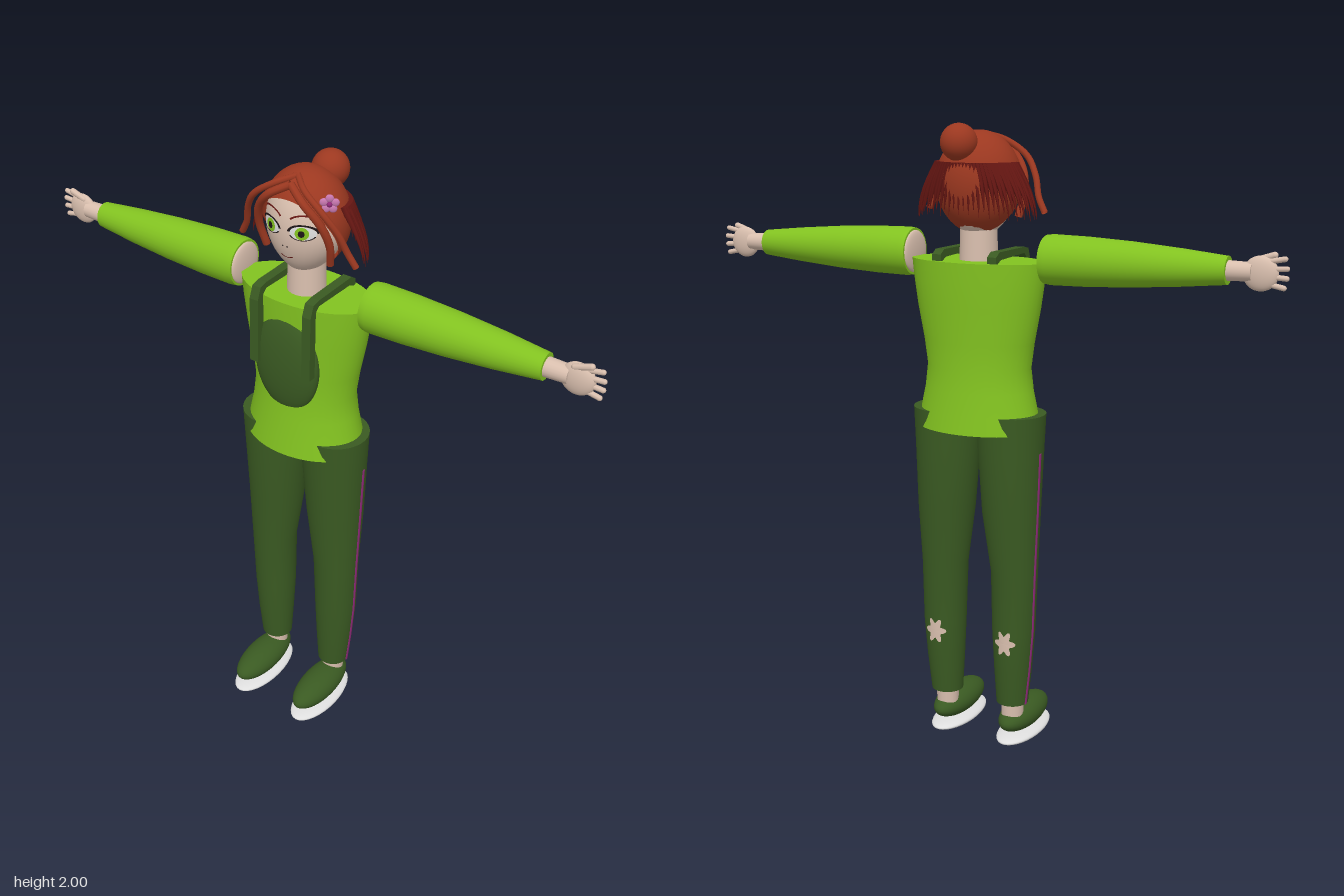
import * as THREE from 'three';
import { mergeGeometries } from 'three/addons/utils/BufferGeometryUtils.js';

const paint = (name, color) => {
  const m = new THREE.MeshStandardMaterial({ color, side: THREE.DoubleSide });
  m.name = name;
  return m;
};

// Closed skin through elliptical rings [y, centreX, centreZ, radiusX, radiusZ], listed upward
function loft(rings, seg = 32) {
  const pos = [], idx = [];
  const addRing = ([y, cx, cz, rx, rz]) => {
    for (let j = 0; j < seg; j++) {
      const a = (j / seg) * Math.PI * 2;
      pos.push(cx + Math.cos(a) * rx, y, cz + Math.sin(a) * rz);
    }
  };
  rings.forEach(addRing);
  for (let i = 0; i < rings.length - 1; i++) {
    for (let j = 0; j < seg; j++) {
      const a = i * seg + j, b = i * seg + ((j + 1) % seg);
      idx.push(a, a + seg, b, b, a + seg, b + seg);
    }
  }
  for (const top of [false, true]) {
    const r = top ? rings[rings.length - 1] : rings[0], start = pos.length / 3;
    addRing(r);
    pos.push(r[1], r[0], r[2]);
    for (let j = 0; j < seg; j++) {
      const a = start + j, b = start + ((j + 1) % seg);
      idx.push(start + seg, top ? b : a, top ? a : b);
    }
  }
  const g = new THREE.BufferGeometry();
  g.setAttribute('position', new THREE.Float32BufferAttribute(pos, 3));
  g.setIndex(idx);
  g.computeVertexNormals();
  return g;
}

// Move every vertex by a rule
function warp(g, rule) {
  const p = g.attributes.position, v = new THREE.Vector3();
  for (let i = 0; i < p.count; i++) {
    v.fromBufferAttribute(p, i);
    rule(v);
    p.setXYZ(i, v.x, v.y, v.z);
  }
  g.computeVertexNormals();
  return g;
}

const ball = (rx, ry, rz, x, y, z) => new THREE.SphereGeometry(1, 32, 20).scale(rx, ry, rz).translate(x, y, z);

export function createModel() {
  const model = new THREE.Group();
  model.name = 'figure';
  const skin = paint('skin', 0xd9bfae), hair = paint('hair', 0x9c3820), darkHair = paint('dark hair', 0x661612);
  const shirt = paint('leaf green', 0x82c220), pants = paint('dark green', 0x3a5a22), white = paint('white', 0xdedede);
  const black = paint('black', 0x1c1416), magenta = paint('magenta', 0x8e2a78), pink = paint('pink', 0xc878b0);
  const add = (parent, name, geo, mat) => {
    const m = new THREE.Mesh(geo, mat);
    m.name = name;
    parent.add(m);
    return m;
  };

  // Torso
  add(model, 'shirt', loft([
    [1.065, 0, -0.043, 0.205, 0.142], [1.12, 0, -0.043, 0.195, 0.134], [1.19, 0, -0.043, 0.18, 0.124],
    [1.26, 0, -0.043, 0.172, 0.117], [1.34, 0, -0.044, 0.184, 0.115], [1.45, 0, -0.045, 0.206, 0.118],
    [1.53, 0, -0.045, 0.218, 0.12], [1.59, 0, -0.045, 0.225, 0.12]], 40), shirt);
  add(model, 'bib', ball(0.115, 0.167, 0.04, 0, 1.38, 0.057), pants);
  add(model, 'neck', new THREE.CylinderGeometry(0.056, 0.06, 0.15, 24).translate(0, 1.64, -0.045), skin);

  // Head with a narrowed chin
  const HY = 1.81, HZ = -0.042;
  const taper = t => 1 - 0.28 * Math.max(0, -t) ** 2;
  add(model, 'head', warp(new THREE.SphereGeometry(1, 36, 28), v => {
    v.set(v.x * 0.122 * taper(v.y), HY + v.y * 0.155, HZ + v.z * 0.108);
  }), skin);

  // Thin face details, laid onto the head surface
  const feature = (name, mat, geo, cx, cy, sx, sy, lift) => add(model, name, warp(geo, v => {
    const x = cx + v.x * sx, y = cy + v.y * sy, t = (y - HY) / 0.155;
    const d = 1 - t * t - (x / (0.122 * taper(t))) ** 2;
    v.set(x, y, HZ + 0.108 * Math.sqrt(Math.max(0, d)) + lift);
  }), mat);
  const disc = () => new THREE.RingGeometry(0, 1, 24, 4);
  const arc = (inner, from, len) => new THREE.RingGeometry(inner, 1, 24, 2, from, len);
  for (const s of [1, -1]) {
    feature('eyeWhite', white, disc(), s * 0.053, 1.822, 0.036, 0.02, 0.002);
    feature('iris', shirt, disc(), s * 0.053, 1.822, 0.019, 0.019, 0.004);
    feature('pupil', black, disc(), s * 0.053, 1.822, 0.009, 0.01, 0.006);
    feature('upperLash', black, arc(0.82, 0.1, 2.95), s * 0.055, 1.822, 0.044, 0.027, 0.005);
    feature('lowerLash', black, arc(0.9, 3.5, 2.4), s * 0.053, 1.822, 0.038, 0.022, 0.004);
    feature('brow', darkHair, arc(0.87, 0.6, 1.95), s * 0.055, 1.842, 0.05, 0.033, 0.003);
    feature('nostril', black, disc(), s * 0.008, 1.772, 0.003, 0.002, 0.003);
  }
  feature('mouth', darkHair, arc(0.75, 3.4, 2.6), 0, 1.741, 0.022, 0.01, 0.003);

  // Hair cap tilted back, leaving the face open
  const rad = THREE.MathUtils.degToRad;
  add(model, 'hairCap', new THREE.SphereGeometry(1, 40, 24, 0, Math.PI * 2, 0, rad(110))
    .rotateX(rad(-55)).scale(0.134, 0.156, 0.122).translate(0, 1.822, -0.043), hair);
  add(model, 'hairBun', ball(0.056, 0.056, 0.056, 0.02, 1.943, -0.133), hair);

  // Fringe of loose pointed strands round the sides and back
  const strands = [], COUNT = 40;
  for (let i = 0; i < COUNT; i++) {
    const a = -0.1 + (i / (COUNT - 1)) * (Math.PI + 0.2), c = Math.cos(a), s = Math.sin(a);
    const drop = 0.14 + 0.02 * Math.abs(c) + (i % 2) * 0.012;
    strands.push(warp(new THREE.ConeGeometry(0.013, 1, 6, 6).rotateX(Math.PI), v => {
      const t = 0.5 - v.y, out = Math.sin(t * 1.5);
      v.set(v.x + c * (0.122 + 0.075 * out), 1.885 - drop * t, v.z - 0.055 - s * (0.09 + 0.015 * out));
    }));
  }
  add(model, 'hairStrands', mergeGeometries(strands), darkHair);

  // Front locks sweeping from the parting to either side
  for (const s of [1, -1]) {
    const path = pts => new THREE.CatmullRomCurve3(pts.map(([x, y, z]) => new THREE.Vector3(x * s, y, z)));
    add(model, 'frontLock', new THREE.TubeGeometry(path([[0.0, 1.965, 0], [0.05, 1.945, 0.04], [0.115, 1.9, 0.05],
      [0.155, 1.84, 0.03], [0.175, 1.78, 0.01], [0.2, 1.735, 0]]), 28, 0.01, 8), hair);
    add(model, 'hairlineLock', new THREE.TubeGeometry(path([[0, 1.95, 0.035], [0.06, 1.915, 0.06],
      [0.105, 1.86, 0.045], [0.122, 1.79, 0.02], [0.112, 1.72, 0]]), 24, 0.012, 8), hair);
  }

  // Hair flower
  const flower = new THREE.Group();
  flower.name = 'flower';
  for (let i = 0; i < 5; i++) {
    const a = (i / 5) * Math.PI * 2 + 0.3;
    add(flower, 'petal', ball(0.012, 0.012, 0.006, Math.cos(a) * 0.017, Math.sin(a) * 0.017, 0), pink);
  }
  add(flower, 'flowerHeart', ball(0.008, 0.008, 0.008, 0, 0, 0.003), magenta);
  flower.position.set(0.12, 1.918, 0.02);
  flower.rotation.y = 0.6;
  model.add(flower);

  // Mirrored parts, built on the +x side
  const legRings = [
    [0.15, 0.121, -0.043, 0.052, 0.052], [0.27, 0.124, -0.044, 0.062, 0.062], [0.4, 0.126, -0.045, 0.07, 0.07],
    [0.6, 0.126, -0.042, 0.076, 0.074], [0.8, 0.116, -0.046, 0.094, 0.092], [1.0, 0.112, -0.043, 0.105, 0.102],
    [1.12, 0.112, -0.042, 0.11, 0.107]];
  for (const s of [1, -1]) {
    const side = new THREE.Group();
    side.name = s > 0 ? 'leftSide' : 'rightSide';
    side.scale.x = s;
    model.add(side);

    // Shoulder strap
    const strap = new THREE.Shape([[0.07, 1.37], [0.097, 1.37], [0.093, 1.58], [0.078, 1.618], [0.05, 1.624],
      [-0.12, 1.624], [-0.142, 1.61], [-0.142, 1.585], [-0.11, 1.6], [0.05, 1.605], [0.066, 1.59]]
      .map(p => new THREE.Vector2(...p)));
    add(side, 'strap', new THREE.ExtrudeGeometry(strap, { depth: 0.03, bevelEnabled: false })
      .rotateY(-Math.PI / 2).translate(0.109, 0, 0), pants);

    // Arm
    const arm = new THREE.Group();
    arm.name = 'arm';
    arm.position.set(0, 1.602, -0.042);
    side.add(arm);
    add(arm, 'sleeve', loft([[0.228, 0, 0, 0.073, 0.073], [0.25, 0, 0, 0.076, 0.077], [0.36, 0, 0, 0.074, 0.075],
      [0.5, 0, 0, 0.067, 0.068], [0.65, 0, 0, 0.055, 0.056], [0.79, 0, 0, 0.041, 0.039]], 28)
      .rotateZ(-Math.PI / 2), shirt);
    add(arm, 'shoulder', ball(0.014, 0.066, 0.066, 0.228, 0, 0), skin);
    add(arm, 'wrist', new THREE.CylinderGeometry(0.027, 0.03, 0.09, 20).rotateZ(-Math.PI / 2).translate(0.815, 0, 0), skin);
    add(arm, 'palm', ball(0.052, 0.05, 0.02, 0.883, -0.003, 0), skin);
    for (let i = 0; i < 4; i++) {
      const k = i - 1.5;
      add(arm, 'finger', new THREE.CapsuleGeometry(0.008, 0.06, 4, 8).rotateZ(-Math.PI / 2 + k * 0.13)
        .translate(0.93 - Math.abs(k) * 0.006, k * 0.023, 0), skin);
    }
    add(arm, 'thumb', new THREE.CapsuleGeometry(0.01, 0.05, 4, 8).rotateZ(-1.25).translate(0.895, 0.041, 0.006), skin);

    // Leg with side stripe and a torn patch at the calf
    add(side, 'trouserLeg', loft(legRings), pants);
    add(side, 'sideStripe', loft(legRings.slice(0, 6).map(([y, cx, cz, rx]) => [y, cx + rx, -0.05, 0.003, 0.006]), 8), magenta);
    add(side, 'calfPatch', warp(new THREE.RingGeometry(0, 1, 48, 4), v => {
      const k = 0.78 + 0.22 * Math.cos(6 * Math.atan2(v.y, v.x));
      const x = -v.x * k * 0.037, y = v.y * k * 0.045;
      v.set(0.126 + x, 0.375 + y, -0.045 - Math.sqrt(0.07 ** 2 - x * x) - 0.002);
    }), skin);
    add(side, 'ankle', new THREE.CylinderGeometry(0.038, 0.036, 0.1, 20).translate(0.121, 0.14, -0.042), skin);

    // Shoe
    add(side, 'shoe', ball(0.06, 0.048, 0.143, 0.122, 0.08, 0.04), pants);
    add(side, 'sole', ball(0.068, 0.019, 0.15, 0.122, 0.021, 0.04), white);
  }
  return model;
}
